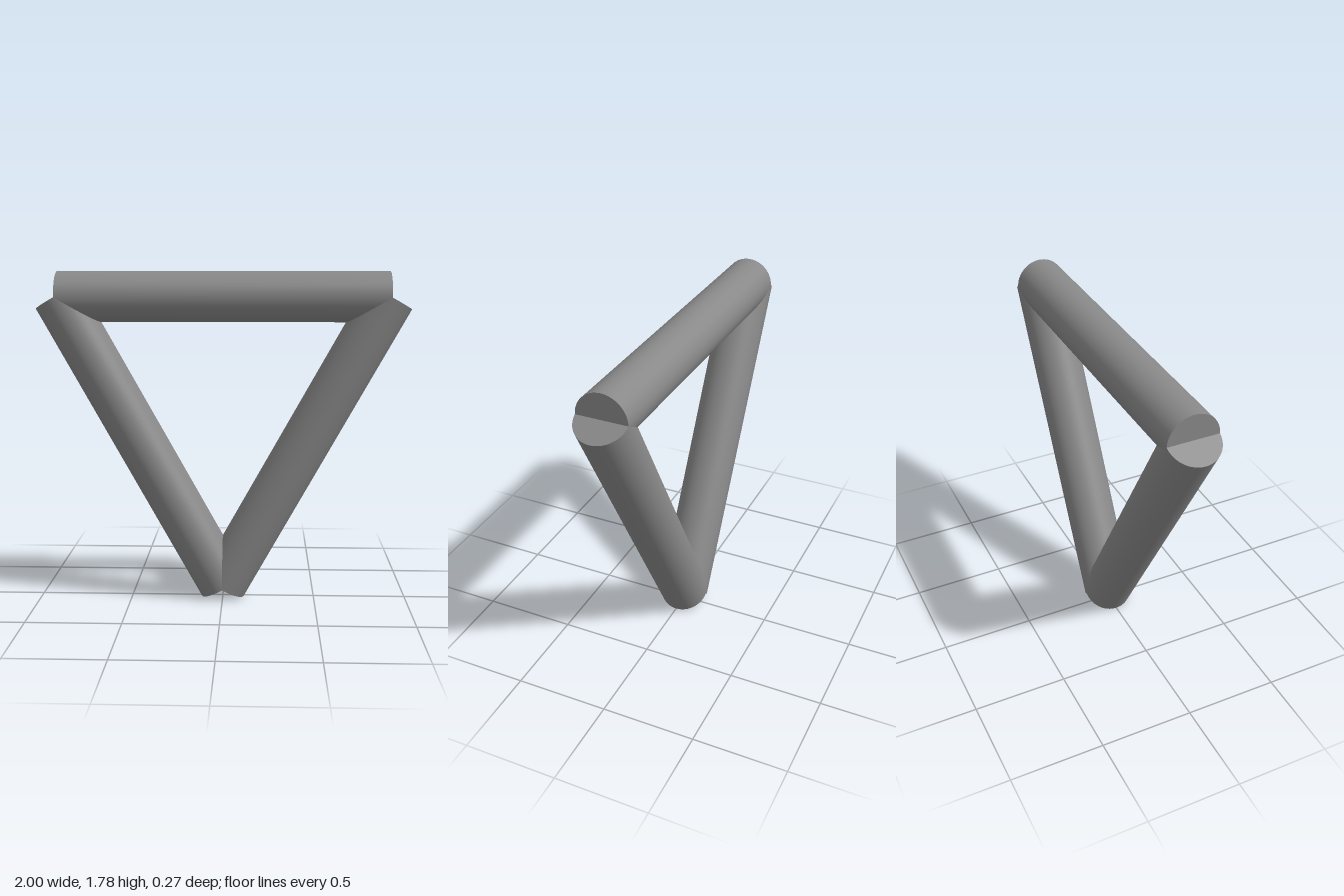
import * as THREE from 'three';

export function createModel() {
  const group = new THREE.Group();
  const material = new THREE.MeshStandardMaterial({ color: 0x888888 });
  const radius = 0.134;

  // Corners of the triangle, where the bar axes meet
  const topLeft = new THREE.Vector3(0.882, 1.643, 0);
  const topRight = new THREE.Vector3(-0.882, 1.643, 0);
  const bottom = new THREE.Vector3(0, 0.066, 0);

  // Capped round bar running from one corner to another
  function addBar(name, from, to) {
    const axis = new THREE.Vector3().subVectors(to, from);
    const bar = new THREE.Mesh(
      new THREE.CylinderGeometry(radius, radius, axis.length(), 64), material);
    bar.name = name;
    bar.position.addVectors(from, to).multiplyScalar(0.5);
    bar.quaternion.setFromUnitVectors(new THREE.Vector3(0, 1, 0), axis.normalize());
    group.add(bar);
  }

  addBar('topBar', topRight, topLeft);
  addBar('leftBar', bottom, topLeft);
  addBar('rightBar', bottom, topRight);

  group.name = 'triangleFrame';
  return group;
}
